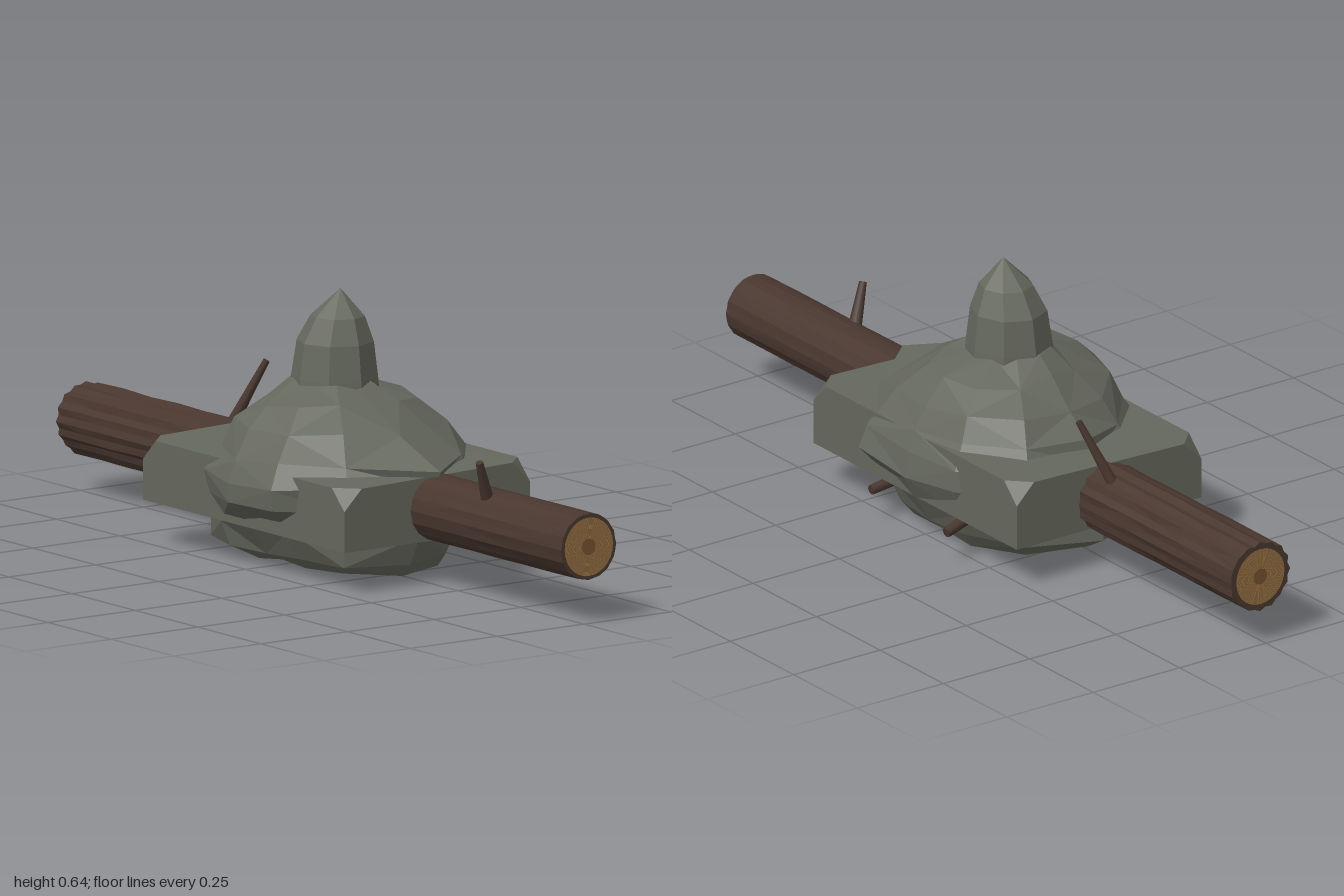
import * as THREE from 'three';
import { ConvexGeometry } from 'three/addons/geometries/ConvexGeometry.js';

const material = (name, color) => Object.assign(new THREE.MeshStandardMaterial({ color }), { name });

// repeatable noise in -1..1
const noise = (a, b = 0) => {
  const s = Math.sin(a * 127.1 + b * 311.7) * 43758.5453;
  return (s - Math.floor(s)) * 2 - 1;
};

// faceted, capped skin over closed rings of [x, y, z] points, stacked upwards
function loft(rings) {
  const n = rings[0].length, pos = [];
  const centre = r => [0, 1, 2].map(k => r.reduce((s, p) => s + p[k], 0) / n);
  const bottom = rings[0], top = rings[rings.length - 1];
  const low = centre(bottom), high = centre(top);
  for (let j = 0; j < n; j++) {
    const k = (j + 1) % n;
    for (let i = 0; i < rings.length - 1; i++) {
      const a = rings[i][j], b = rings[i][k], c = rings[i + 1][j], d = rings[i + 1][k];
      if ((i + j) % 2) pos.push(...a, ...c, ...b, ...b, ...c, ...d);
      else pos.push(...a, ...c, ...d, ...a, ...d, ...b);
    }
    pos.push(...low, ...bottom[j], ...bottom[k], ...high, ...top[k], ...top[j]);
  }
  const g = new THREE.BufferGeometry();
  g.setAttribute('position', new THREE.Float32BufferAttribute(pos, 3));
  g.computeVertexNormals();
  return g;
}

export function createModel() {
  const model = new THREE.Group();
  model.name = 'logInRock';
  const stone = material('stone', 0x65685d);
  const bark = material('bark', 0x49372f);
  const wood = material('cut wood', 0xa07a4a);
  const growth = material('growth ring', 0x74532f);

  const add = (name, geometry, mat, parent = model) => {
    const mesh = new THREE.Mesh(geometry, mat);
    mesh.name = name;
    parent.add(mesh);
    return mesh;
  };

  // boulder: height, then radii every 30 degrees from +x round through +z
  const sections = [
    [0.005, 0.28, 0.24, 0.15, 0.11, 0.17, 0.24, 0.30, 0.28, 0.24, 0.20, 0.23, 0.27],
    [0.035, 0.31, 0.27, 0.21, 0.19, 0.24, 0.31, 0.36, 0.33, 0.27, 0.24, 0.26, 0.29],
    [0.10, 0.35, 0.28, 0.25, 0.24, 0.26, 0.31, 0.36, 0.35, 0.30, 0.28, 0.29, 0.32],
    [0.165, 0.38, 0.33, 0.345, 0.30, 0.29, 0.31, 0.32, 0.36, 0.335, 0.31, 0.36, 0.36],
    [0.22, 0.41, 0.345, 0.35, 0.30, 0.30, 0.31, 0.31, 0.355, 0.33, 0.30, 0.34, 0.36],
    [0.27, 0.43, 0.31, 0.31, 0.28, 0.26, 0.27, 0.30, 0.31, 0.29, 0.28, 0.31, 0.33],
    [0.33, 0.27, 0.25, 0.25, 0.24, 0.23, 0.23, 0.23, 0.26, 0.26, 0.25, 0.27, 0.26],
    [0.385, 0.17, 0.17, 0.19, 0.19, 0.17, 0.16, 0.155, 0.18, 0.20, 0.20, 0.20, 0.17],
    [0.42, 0.11, 0.10, 0.09, 0.09, 0.09, 0.10, 0.11, 0.10, 0.10, 0.10, 0.10, 0.10],
  ];
  add('boulder', loft(sections.map(([y, ...radii], i) => radii.map((r, j) => {
    const a = j * Math.PI / 6;
    const lift = i === 0 ? 0.005 : 0.011;
    return [r * Math.cos(a), y + lift * noise(i, j), r * Math.sin(a)];
  }))), stone);

  // pointed stone on top
  const spire = new THREE.LatheGeometry(
    [[0.112, 0.36], [0.106, 0.43], [0.094, 0.515], [0.066, 0.575], [0, 0.64]]
      .map(p => new THREE.Vector2(...p)), 8).toNonIndexed();
  const sp = spire.attributes.position;
  for (let i = 0; i < sp.count; i++) {
    const tip = Math.max(0, sp.getY(i) - 0.5) / 0.14;
    sp.setX(i, sp.getX(i) - 0.005 + 0.015 * tip);
    sp.setZ(i, sp.getZ(i) * 0.95 - 0.011 - 0.006 * tip);
  }
  spire.computeVertexNormals();
  add('spire', spire, stone);

  // flat slab through the boulder, upper corners chipped
  const slabPoints = [];
  for (const x of [-0.4, 0.4]) for (const z of [-0.28, 0.255]) {
    const sx = Math.sign(x), sz = Math.sign(z), top = z < 0 ? 0.262 : 0.25;
    slabPoints.push([x, 0.103, z], [x, top - 0.05, z],
      [x - sx * 0.05, top, z], [x, top, z - sz * 0.05]);
  }
  add('slab', new ConvexGeometry(slabPoints.map(p => new THREE.Vector3(...p))), stone);

  // log halves: bark in uneven lengthwise strips
  function log(name, x0, x1, y, radius, rough, seed) {
    const sides = 32, rows = 6, rings = [];
    for (let i = 0; i <= rows; i++) {
      const ring = [];
      for (let j = 0; j < sides; j++) {
        const a = j / sides * Math.PI * 2;
        const groove = (j % 2 ? -1 : 0.3) + 0.6 * noise(j, seed) + 0.6 * noise(i + seed, j);
        const r = radius + rough * groove;
        ring.push([r * Math.cos(a), x0 + (x1 - x0) * i / rows, r * Math.sin(a)]);
      }
      rings.push(ring);
    }
    add(name, loft(rings).rotateZ(-Math.PI / 2), bark).position.set(0, y, -0.015);
  }
  log('rightLog', -0.998, -0.36, 0.172, 0.085, 0.0035, 3);
  log('leftLog', 0.36, 0.998, 0.182, 0.079, 0.0012, 8);

  // sawn ends with growth rings
  for (const side of [-1, 1]) {
    const end = new THREE.Group();
    end.name = side > 0 ? 'leftLogEnd' : 'rightLogEnd';
    end.position.set(side * 0.999, side > 0 ? 0.182 : 0.172, -0.015);
    end.rotation.y = side * Math.PI / 2;
    add('heartwood', new THREE.CircleGeometry(0.02, 20), growth, end);
    const bands = 20, step = (0.07 - 0.02) / bands;
    for (let i = 0; i < bands; i++) {
      const inner = 0.02 + i * step;
      const split = inner + step * 0.68;
      add('woodBand', new THREE.RingGeometry(inner, split, 28), wood, end);
      add('growthRing', new THREE.RingGeometry(split, inner + step, 28), growth, end);
    }
    model.add(end);
  }

  // broken twigs and small stubs
  const up = new THREE.Vector3(0, 1, 0);
  function twig(name, from, to, r0, r1) {
    const a = new THREE.Vector3(...from), b = new THREE.Vector3(...to);
    const dir = b.clone().sub(a);
    const mesh = add(name, new THREE.CylinderGeometry(r1, r0, dir.length(), 8), bark);
    mesh.position.copy(a).add(b).multiplyScalar(0.5);
    mesh.quaternion.setFromUnitVectors(up, dir.normalize());
  }
  twig('longTwig', [-0.475, 0.22, -0.045], [-0.412, 0.39, -0.11], 0.015, 0.008);
  twig('shortTwig', [0.642, 0.23, 0.015], [0.665, 0.338, 0.058], 0.017, 0.009);
  twig('backStub', [-0.16, 0.10, -0.23], [-0.17, 0.077, -0.315], 0.015, 0.012);
  twig('lowStub', [0.14, 0.09, -0.22], [0.14, 0.078, -0.305], 0.014, 0.012);

  return model;
}
